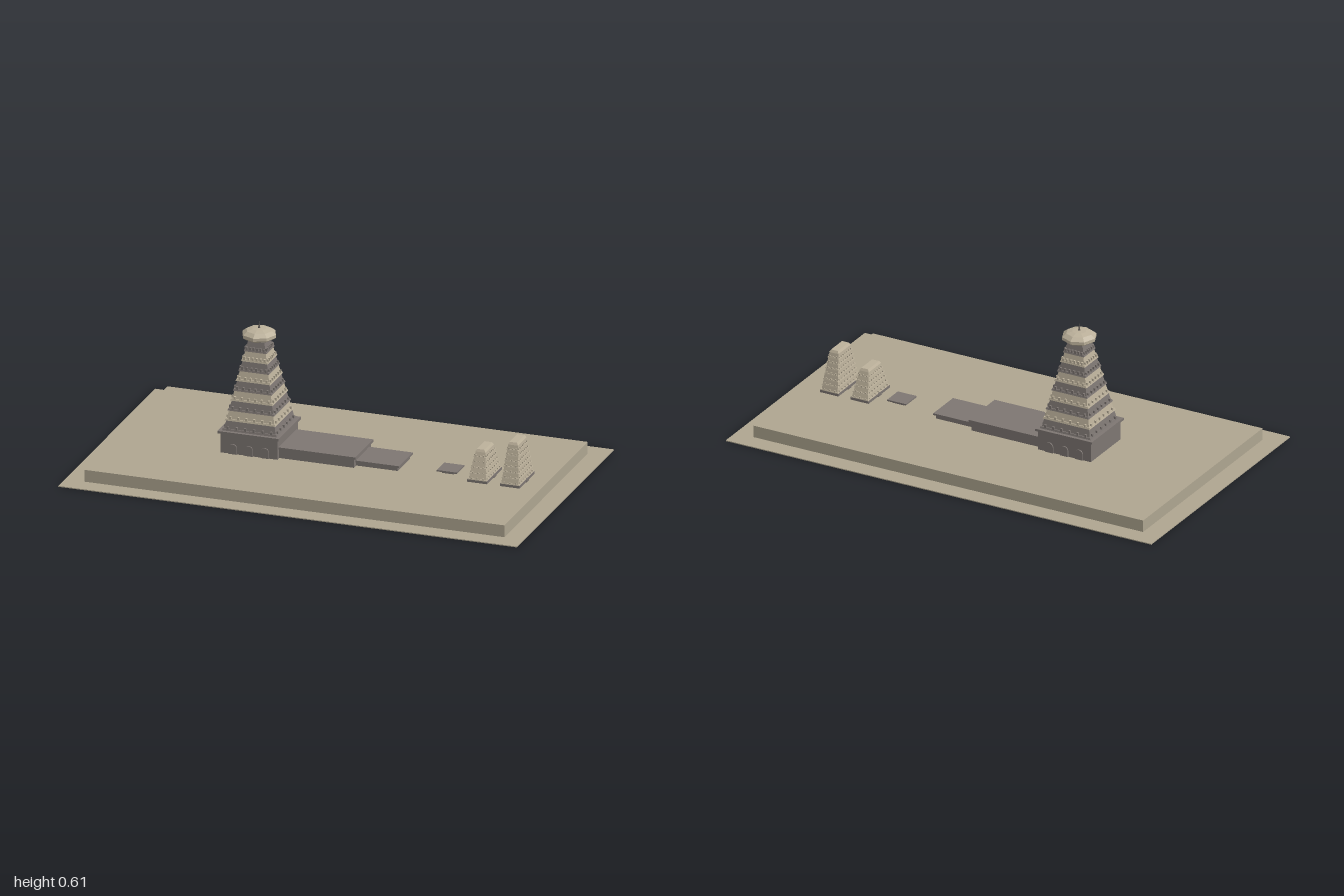
import * as THREE from 'three';
import { mergeGeometries } from 'three/addons/utils/BufferGeometryUtils.js';

const mat = (name, color) => {
  const m = new THREE.MeshStandardMaterial({ color, flatShading: true });
  m.name = name;
  return m;
};

export function createModel() {
  const earth = mat('earth', 0xaea590);
  const sand = mat('sandstone', 0xbbb09a);
  const grey = mat('grey stone', 0x7d7672);
  const dark = mat('dark stone', 0x5c5652);
  const model = new THREE.Group();
  model.name = 'templeCompound';

  const add = (parent, name, geo, material, x = 0, y = 0, z = 0) => {
    const mesh = new THREE.Mesh(geo, material);
    mesh.name = name;
    mesh.position.set(x, y, z);
    parent.add(mesh);
    return mesh;
  };
  // box given by its extents in x and y and its half depth in z
  const slab = (parent, name, x0, x1, y0, y1, hz, material) =>
    add(parent, name, new THREE.BoxGeometry(x1 - x0, y1 - y0, hz * 2), material, (x0 + x1) / 2, (y0 + y1) / 2, 0);

  // four-sided tapered block with its base at y
  const taper = (bx, bz, tx, tz, y, h) => {
    const g = new THREE.BoxGeometry(2, h, 2);
    const p = g.attributes.position;
    for (let i = 0; i < p.count; i++) {
      const top = p.getY(i) > 0;
      p.setXYZ(i, p.getX(i) * (top ? tx : bx), y + (top ? h : 0), p.getZ(i) * (top ? tz : bz));
    }
    g.computeVertexNormals();
    return g;
  };

  // stepped spire: tapered tiers, each with a ledge and a row of small blocks
  const tiers = (parent, { count, y0, y1, bx, bz, tx, tz, materials, teethX, teethZ, lip }) => {
    const h = (y1 - y0) / count;
    for (let i = 0; i < count; i++) {
      const a = i / count, b = (i + 1) / count;
      const y = y0 + h * i;
      const wx = THREE.MathUtils.lerp(bx, tx, a), wz = THREE.MathUtils.lerp(bz, tz, a);
      const ux = THREE.MathUtils.lerp(bx, tx, b), uz = THREE.MathUtils.lerp(bz, tz, b);
      const parts = [
        taper(wx, wz, ux, uz, y, h),
        taper(wx + lip, wz + lip, wx + lip * 0.5, wz + lip * 0.5, y, h * 0.2),
      ];
      const tooth = (x, z) => {
        const s = lip * 1.3;
        parts.push(new THREE.BoxGeometry(s * 1.3, h * 0.3, s * 1.3).translate(x, y + h * 0.3, z));
      };
      for (const s of [-1, 1]) {
        for (let k = 0; k < teethX; k++) tooth(wx * ((2 * k + 1) / teethX - 1), s * wz);
        for (let k = 0; k < teethZ; k++) tooth(s * wx, wz * ((2 * k + 1) / teethZ - 1));
      }
      add(parent, 'tier' + (i + 1), mergeGeometries(parts), materials[i % materials.length]);
    }
  };

  // ground and raised court
  slab(model, 'ground', -1, 1, 0, 0.004, 0.582, earth);
  slab(model, 'court', -0.916, 0.916, 0.004, 0.056, 0.5, earth);

  // sanctum tower
  const tower = new THREE.Group();
  tower.name = 'sanctumTower';
  tower.position.x = -0.335;
  model.add(tower);
  slab(tower, 'sanctumBase', -0.124, 0.124, 0.056, 0.142, 0.124, grey);
  slab(tower, 'sanctumCornice', -0.134, 0.134, 0.142, 0.152, 0.134, grey);
  tiers(tower, {
    count: 9, y0: 0.152, y1: 0.525, bx: 0.114, bz: 0.114, tx: 0.036, tz: 0.036,
    materials: [grey, sand], teethX: 6, teethZ: 6, lip: 0.005,
  });

  // arched niches on both long sides of the base
  const arch = new THREE.Shape();
  arch.moveTo(-0.018, 0);
  arch.lineTo(0.018, 0);
  arch.lineTo(0.018, 0.026);
  arch.absarc(0, 0.026, 0.018, 0, Math.PI, false);
  const archGeo = new THREE.ExtrudeGeometry(arch, { depth: 0.006, bevelEnabled: false, curveSegments: 6 });
  for (const s of [-1, 1])
    for (const x of [-0.07, 0, 0.07]) {
      const niche = add(tower, 'niche', archGeo, grey, x, 0.056, s * 0.123);
      if (s < 0) niche.rotation.y = Math.PI;
    }

  // neck, ribbed crown stone and finial
  add(tower, 'neck', new THREE.CylinderGeometry(0.04, 0.04, 0.015, 8), grey, 0, 0.53, 0);
  const crown = [[0, 0.53], [0.058, 0.53], [0.073, 0.54], [0.073, 0.553], [0.055, 0.567], [0.03, 0.573], [0, 0.575]]
    .map(([r, y]) => new THREE.Vector2(r, y));
  add(tower, 'crownStone', new THREE.LatheGeometry(crown, 8), sand);
  add(tower, 'finial', new THREE.ConeGeometry(0.005, 0.034, 6), dark, 0, 0.59, 0);

  // hall, porch and offering stone, each with an overhanging top slab
  const halls = [
    ['hall', -0.212, 0.115, 0.095, 0.105, 0.102, 0.109],
    ['porch', 0.115, 0.296, 0.073, 0.081, 0.074, 0.083],
    ['offeringStone', 0.473, 0.525, 0.065, 0.071, 0.032, 0.045],
  ];
  for (const [name, x0, x1, yb, yt, hz, rz] of halls) {
    const over = name === 'offeringStone' ? 0.018 : 0.009;
    slab(model, name, x0, x1, 0.056, yb, hz, grey);
    slab(model, name + 'Top', x0 - (name === 'offeringStone' ? over : 0), x1 + over, yb, yt, rz, grey);
  }

  // two gate towers
  for (const [x, top, count] of [[0.648, 0.178, 5], [0.79, 0.228, 7]]) {
    const gate = new THREE.Group();
    gate.name = 'gateTower';
    gate.position.x = x;
    model.add(gate);
    slab(gate, 'gatePlinth', -0.043, 0.043, 0.056, 0.067, 0.09, grey);
    tiers(gate, {
      count, y0: 0.067, y1: top, bx: 0.038, bz: 0.087, tx: 0.021, tz: 0.05,
      materials: [sand], teethX: 3, teethZ: 7, lip: 0.003,
    });
    add(gate, 'gateRoof', taper(0.022, 0.052, 0.016, 0.046, top, 0.01), sand);
    // arched doorway across the gate
    const door = add(gate, 'gateDoor', new THREE.CylinderGeometry(0.014, 0.014, 0.094, 12), grey, 0, 0.056, 0);
    door.rotation.z = Math.PI / 2;
  }
  return model;
}
